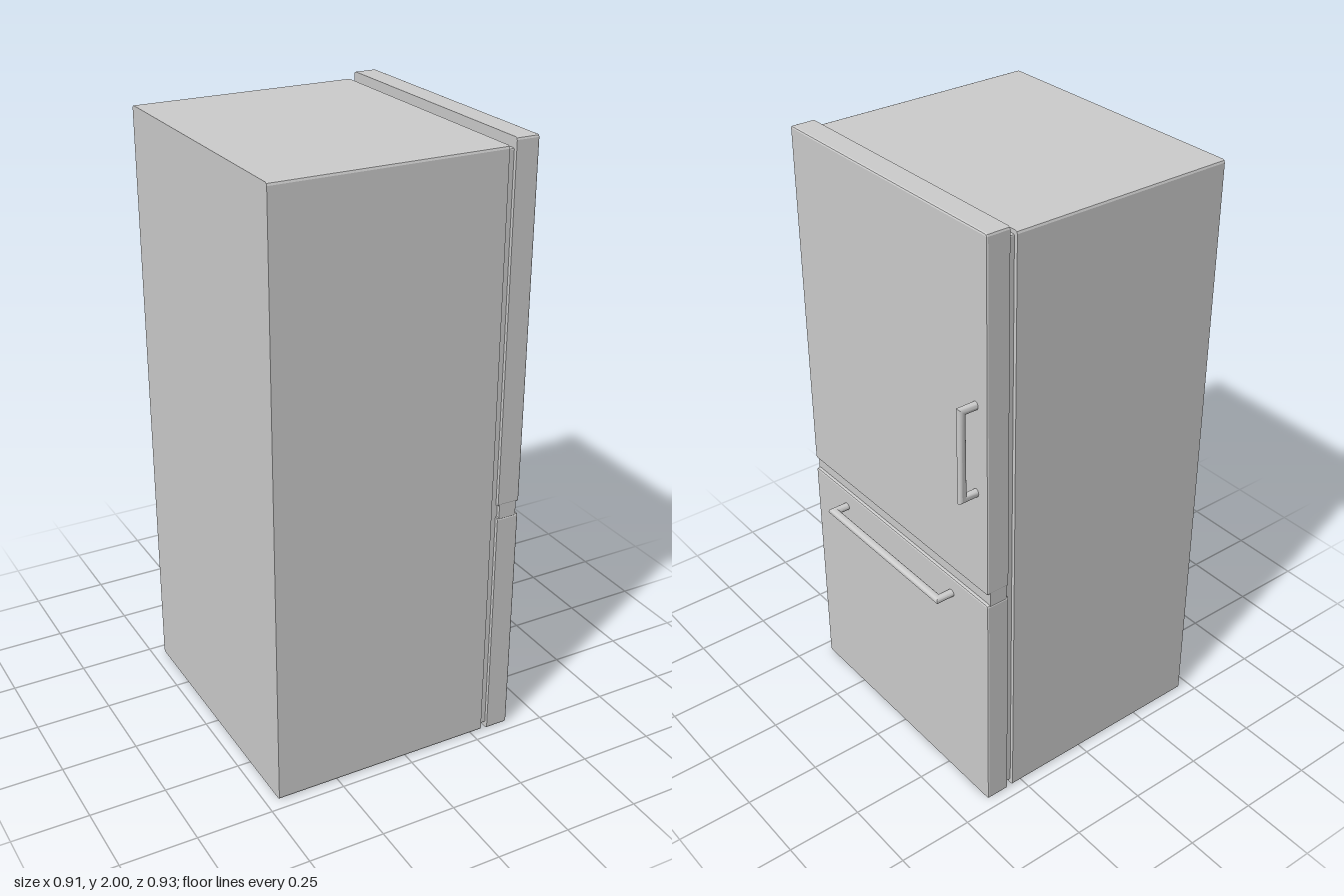
import * as THREE from 'three';
import { toCreasedNormals } from 'three/addons/utils/BufferGeometryUtils.js';
import { ConvexGeometry } from 'three/addons/geometries/ConvexGeometry.js';

const grey = new THREE.MeshStandardMaterial({ color: 0xcccccc });

function add(group, name, geometry) {
  const mesh = new THREE.Mesh(geometry, grey);
  mesh.name = name;
  group.add(mesh);
  return mesh;
}

// Slab running along x: rounded lengthwise edges, optional softened front edge
function slab(x0, x1, y0, y1, halfZ, radius, frontBevel = 0) {
  const points = [];
  const ring = (x, inset) => {
    for (const sy of [-1, 1]) for (const sz of [-1, 1]) for (let i = 0; i <= 2; i++) {
      const a = (i / 2) * Math.PI / 2;
      const y = (y1 - y0) / 2 - radius + (radius - inset) * Math.sin(a);
      const z = halfZ - radius + (radius - inset) * Math.cos(a);
      points.push(new THREE.Vector3(x, (y0 + y1) / 2 + sy * y, sz * z));
    }
  };
  ring(x0, 0);
  ring(x1 - frontBevel, 0);
  if (frontBevel) {
    ring(x1 - frontBevel * 0.3, frontBevel * 0.3);
    ring(x1, frontBevel);
  }
  return new ConvexGeometry(points);
}

// Mitred U-shaped bar with an oval section, upright and centred on y = 0
function handleGeometry(x0, x1, half, ru = 0.0135, rv = 0.0115, sides = 16) {
  const positions = [], index = [];
  for (let k = 0; k < 4; k++) {
    for (let j = 0; j < sides; j++) {
      const a = (j / sides) * Math.PI * 2;
      const u = ru * (1 - Math.cos(a)); // distance in from the outer outline
      const x = k === 0 || k === 3 ? x0 : x1 - u;
      positions.push(x, (k < 2 ? -1 : 1) * (half - u), rv * Math.sin(a));
      if (k < 3) {
        const p = k * sides + j, q = k * sides + (j + 1) % sides;
        index.push(p, p + sides, q, q, p + sides, q + sides);
      }
    }
  }
  const geometry = new THREE.BufferGeometry();
  geometry.setAttribute('position', new THREE.Float32BufferAttribute(positions, 3));
  geometry.setIndex(index);
  return toCreasedNormals(geometry, 0.6);
}

export function createModel() {
  const fridge = new THREE.Group();
  fridge.name = 'refrigerator';

  // Cabinet and the recessed seal behind the doors
  add(fridge, 'cabinet', slab(-0.457, 0.288, 0.005, 1.98, 0.463, 0.009));
  add(fridge, 'doorSeal', slab(0.28, 0.316, 0.02, 1.967, 0.451, 0.004));

  // Doors, with a recessed strip closing the gap between them
  add(fridge, 'upperDoor', slab(0.311, 0.388, 0.84, 2, 0.463, 0.008, 0.006));
  add(fridge, 'lowerDrawer', slab(0.311, 0.388, 0.003, 0.8, 0.463, 0.008, 0.006));
  add(fridge, 'doorGapStrip', slab(0.317, 0.377, 0.795, 0.85, 0.462, 0.002));

  // Handles
  const upper = add(fridge, 'upperHandle', handleGeometry(0.386, 0.452, 0.158));
  upper.position.set(0, 1.328, -0.413);
  const lower = add(fridge, 'drawerHandle', handleGeometry(0.386, 0.452, 0.298));
  lower.position.set(0, 0.741, 0);
  lower.rotation.x = Math.PI / 2;

  return fridge;
}
